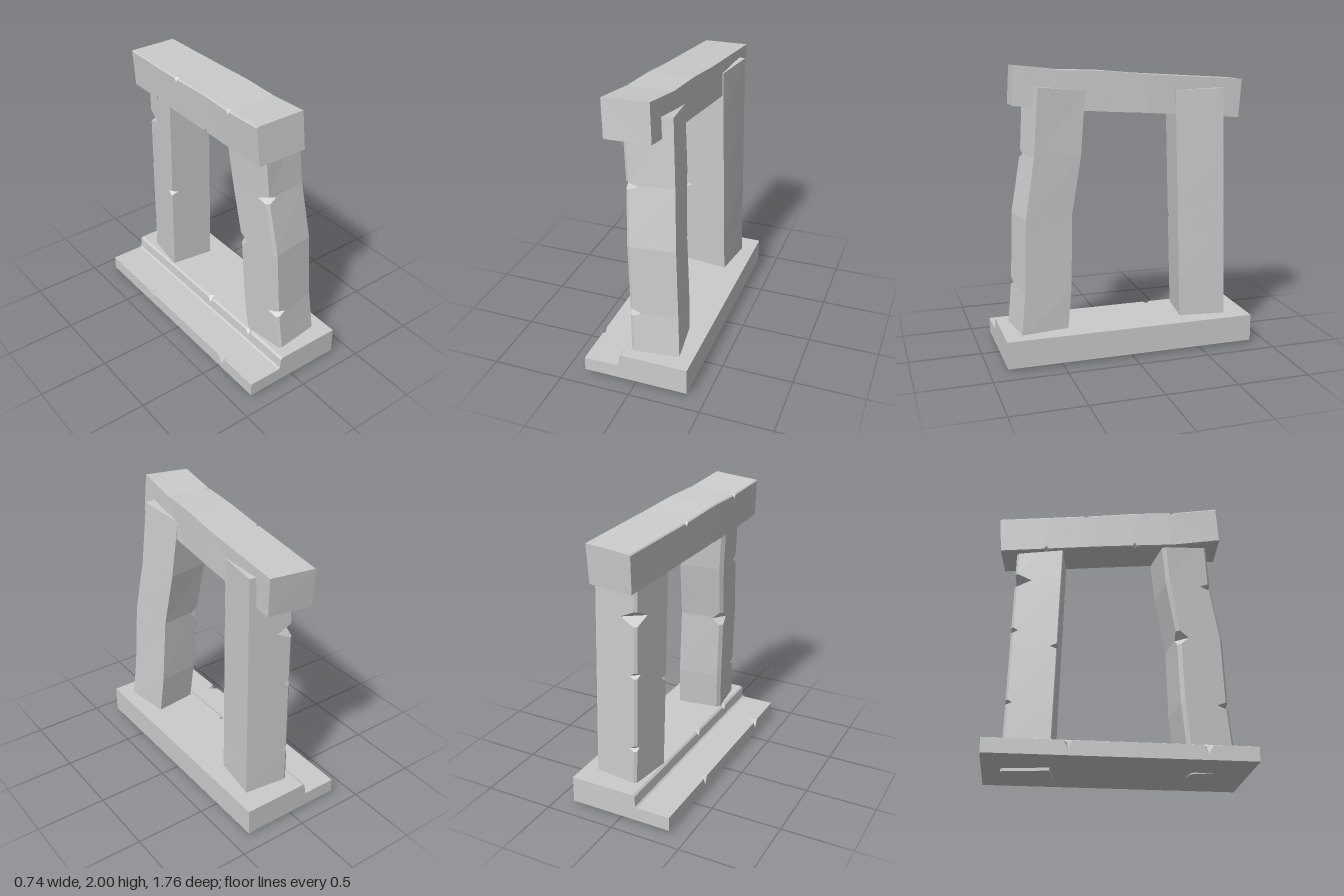
import * as THREE from 'three';

const stone = new THREE.MeshStandardMaterial({ color: 0xcccccc, flatShading: true });

// Skin a row of equal-length loops (counter-clockwise seen from the far end) and cap it.
function loft(name, loops) {
  const pos = [];
  const tri = (a, b, c) => pos.push(...a.toArray(), ...b.toArray(), ...c.toArray());
  const n = loops[0].length;
  for (let s = 0; s < loops.length - 1; s++) {
    const A = loops[s], B = loops[s + 1];
    for (let i = 0; i < n; i++) {
      const j = (i + 1) % n;
      tri(A[i], A[j], B[j]);
      tri(A[i], B[j], B[i]);
    }
  }
  const first = loops[0], last = loops[loops.length - 1];
  for (let i = 1; i < n - 1; i++) {
    tri(first[0], first[i + 1], first[i]);
    tri(last[0], last[i], last[i + 1]);
  }
  const geo = new THREE.BufferGeometry();
  geo.setAttribute('position', new THREE.Float32BufferAttribute(pos, 3));
  geo.computeVertexNormals();
  const mesh = new THREE.Mesh(geo, stone);
  mesh.name = name;
  return mesh;
}

// Stone block through key sections { t, pts }. cuts: { cornerIndex: { c, notches: [[t, depth, halfWidth]] } }
// bevels that long edge by c and chips it with V-shaped notches.
function block(name, keys, cuts) {
  const t0 = keys[0].t, t1 = keys[keys.length - 1].t;
  const stations = new Set(keys.map(k => k.t));
  for (const { notches } of Object.values(cuts))
    for (const [t, , h] of notches) [t - h, t, t + h].forEach(v => stations.add(v));
  const ts = [...stations].filter(t => t >= t0 && t <= t1).sort((a, b) => a - b);

  const loops = ts.map(t => {
    let k = 0;
    while (k < keys.length - 2 && t > keys[k + 1].t) k++;
    const f = (t - keys[k].t) / (keys[k + 1].t - keys[k].t);
    const corners = keys[k].pts.map((p, i) =>
      new THREE.Vector3(...p).lerp(new THREE.Vector3(...keys[k + 1].pts[i]), f));
    return corners.flatMap((p, i) => {
      const cut = cuts[i];
      if (!cut) return [p];
      let c = cut.c;
      for (const [nt, depth, h] of cut.notches)
        c = Math.max(c, cut.c + (depth - cut.c) * (1 - Math.abs(t - nt) / h));
      const n = corners.length;
      return [corners[(i + n - 1) % n], corners[(i + 1) % n]].map(q =>
        p.clone().addScaledVector(q.clone().sub(p).normalize(), c));
    });
  });
  return loft(name, loops);
}

// Pillar section: corners [x, z] ordered (+x+z, +x-z, -x-z, -x+z), with optional height offsets
const level = (y, xz, dy = [0, 0, 0, 0]) => ({ t: y, pts: xz.map(([x, z], i) => [x, y + dy[i], z]) });

export function createModel() {
  const group = new THREE.Group();
  group.name = 'stoneGateway';

  // Stepped base slab
  const step = [[0.37, 0.02], [0.37, 0.21], [-0.11, 0.21], [-0.12, 0.12], [-0.37, 0.12], [-0.37, 0.02]];
  group.add(block('base', [-0.88, 0.88].map(z => ({ t: z, pts: step.map(([x, y]) => [x, y, z]) })), {
    2: { c: 0.012, notches: [[0.07, 0.04, 0.025], [0.52, 0.04, 0.025]] },
    3: { c: 0.01, notches: [] },
    4: { c: 0.001, notches: [[-0.34, 0.06, 0.025], [0.55, 0.06, 0.035]] },
  }));

  // Bent front pillar
  group.add(block('frontPillar', [
    level(0.03, [[0.285, 0.78], [0.24, 0.45], [-0.09, 0.49], [-0.05, 0.82]], [0, 0, -0.02, 0]),
    level(0.21, [[0.275, 0.76], [0.23, 0.43], [-0.095, 0.47], [-0.055, 0.8]]),
    level(0.5, [[0.257, 0.73], [0.215, 0.4], [-0.11, 0.44], [-0.07, 0.77]]),
    level(0.99, [[0.235, 0.71], [0.19, 0.385], [-0.13, 0.42], [-0.09, 0.75]]),
    level(1.4, [[0.205, 0.64], [0.165, 0.31], [-0.155, 0.35], [-0.115, 0.675]]),
    level(1.84, [[0.18, 0.6], [0.135, 0.27], [-0.19, 0.31], [-0.145, 0.645]], [0.02, -0.02, -0.02, 0.02]),
  ], {
    2: { c: 0.025, notches: [[0.98, 0.08, 0.05]] },
    3: { c: 0.02, notches: [[0.5, 0.08, 0.025], [1.39, 0.08, 0.025]] },
  }));

  // Straighter back pillar
  group.add(block('backPillar', [
    level(0.01, [[0.23, -0.395], [0.273, -0.72], [-0.047, -0.76], [-0.092, -0.44]], [0.005, 0.005, -0.01, -0.01]),
    level(0.21, [[0.225, -0.39], [0.27, -0.715], [-0.05, -0.755], [-0.095, -0.435]]),
    level(1.82, [[0.19, -0.35], [0.25, -0.675], [-0.07, -0.72], [-0.12, -0.39]], [-0.005, 0.005, 0.005, -0.005]),
  ], {
    2: { c: 0.018, notches: [[0.47, 0.045, 0.02], [1.0, 0.05, 0.02], [1.39, 0.12, 0.05]] },
    3: { c: 0.004, notches: [[0.88, 0.05, 0.02]] },
  }));

  // Sagging lintel: corners ordered (+x low, +x high, -x high, -x low)
  group.add(block('lintel', [
    { t: -0.82, pts: [[0.21, 1.615, -0.81], [0.217, 1.88, -0.825], [-0.112, 1.865, -0.857], [-0.105, 1.6, -0.837]] },
    { t: -0.15, pts: [[0.175, 1.665, -0.15], [0.17, 1.925, -0.15], [-0.17, 1.91, -0.16], [-0.16, 1.645, -0.16]] },
    { t: 0.12, pts: [[0.15, 1.68, 0.12], [0.145, 1.95, 0.12], [-0.19, 1.935, 0.11], [-0.18, 1.66, 0.11]] },
    { t: 0.42, pts: [[0.13, 1.7, 0.42], [0.12, 1.96, 0.42], [-0.215, 1.945, 0.4], [-0.2, 1.675, 0.4]] },
    { t: 0.74, pts: [[0.1, 1.735, 0.757], [0.085, 2.0, 0.74], [-0.245, 1.98, 0.71], [-0.23, 1.715, 0.73]] },
  ], {
    2: { c: 0.008, notches: [[-0.22, 0.03, 0.015], [0.41, 0.03, 0.015]] },
    3: { c: 0.008, notches: [[-0.5, 0.03, 0.015], [0.13, 0.03, 0.015]] },
  }));

  return group;
}
